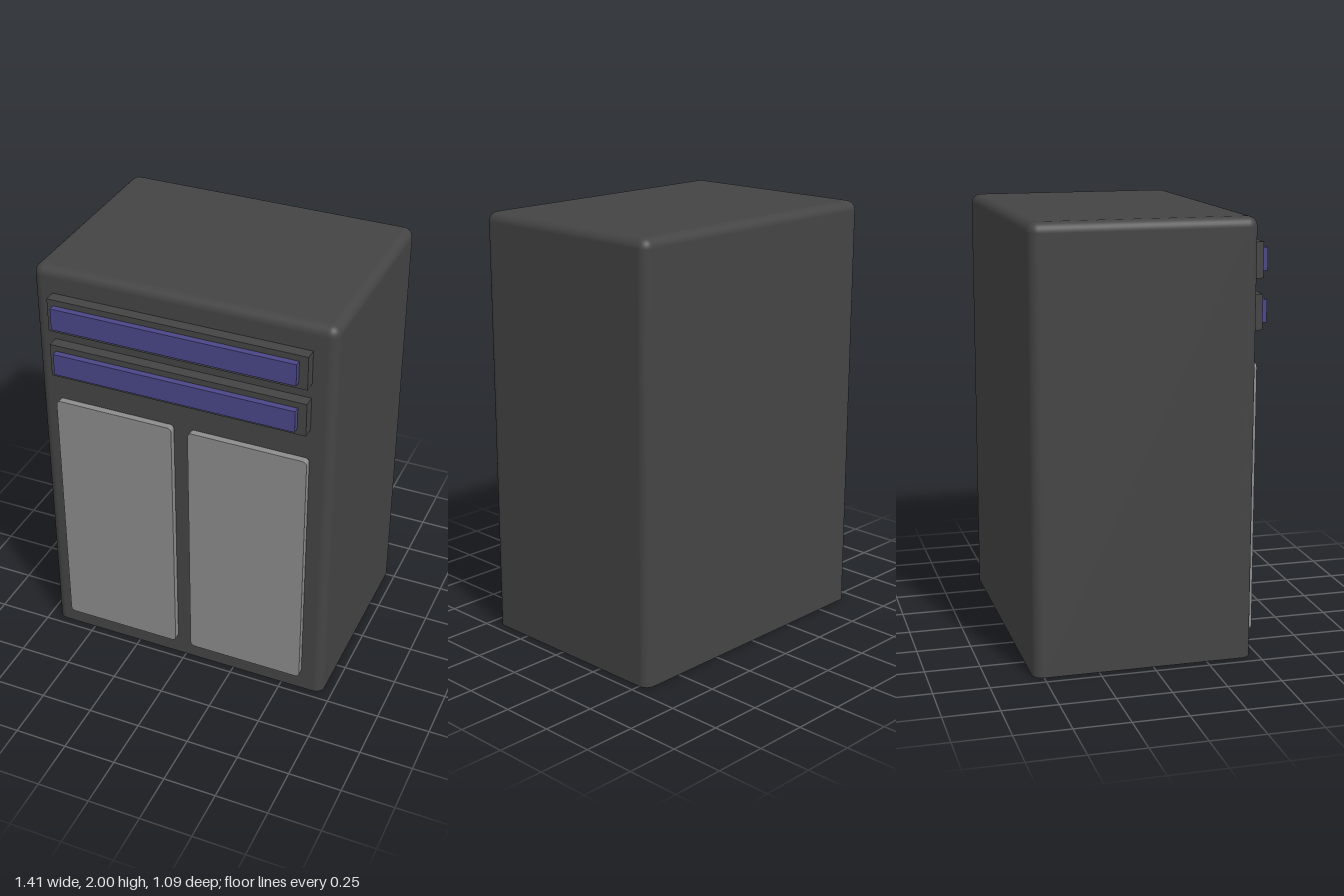
import * as THREE from 'three';
import { RoundedBoxGeometry } from 'three/addons/geometries/RoundedBoxGeometry.js';

const material = (color) => new THREE.MeshStandardMaterial({ color });

// Box given by its extents, [min, max] on each axis
function slab(name, x, y, z, mat) {
  const mesh = new THREE.Mesh(new THREE.BoxGeometry(x[1] - x[0], y[1] - y[0], z[1] - z[0]), mat);
  mesh.position.set((x[0] + x[1]) / 2, (y[0] + y[1]) / 2, (z[0] + z[1]) / 2);
  mesh.name = name;
  return mesh;
}

// Cabinet with rounded sides and top, cut flat at the floor
function cabinetGeometry(width, height, depth, r) {
  const geo = new RoundedBoxGeometry(width, height + r, depth, 5, r);
  geo.translate(0, (height - r) / 2, 0);
  const pos = geo.attributes.position;
  const nor = geo.attributes.normal;
  for (let i = 0; i < pos.count; i += 3) {
    const corners = [i, i + 1, i + 2];
    const under = corners.every((k) => pos.getY(k) < 1e-4);
    for (const k of corners) {
      pos.setY(k, Math.max(0, pos.getY(k)));
      if (under) nor.setXYZ(k, 0, -1, 0);
    }
  }
  return geo;
}

// Flat door with rounded corners
function doorGeometry(w, h, depth, r) {
  const s = new THREE.Shape();
  s.moveTo(r, 0);
  s.lineTo(w - r, 0);
  s.absarc(w - r, r, r, -Math.PI / 2, 0);
  s.lineTo(w, h - r);
  s.absarc(w - r, h - r, r, 0, Math.PI / 2);
  s.lineTo(r, h);
  s.absarc(r, h - r, r, Math.PI / 2, Math.PI);
  s.lineTo(0, r);
  s.absarc(r, r, r, Math.PI, Math.PI * 1.5);
  return new THREE.ExtrudeGeometry(s, { depth, bevelEnabled: false, curveSegments: 5 });
}

export function createModel() {
  const group = new THREE.Group();
  const dark = material(0x444444);
  const grey = material(0x8c8c8c);
  const blue = material(0x4a4688);

  const cabinet = new THREE.Mesh(cabinetGeometry(1.41, 2, 1.01, 0.045), dark);
  cabinet.position.z = -0.042;
  cabinet.name = 'cabinet';
  group.add(cabinet);

  // Two drawers: dark frame with a blue front
  for (const [name, y] of [['upperDrawer', 1.72], ['lowerDrawer', 1.49]]) {
    const drawer = new THREE.Group();
    drawer.name = name;
    drawer.add(
      slab('drawerFrame', [-0.61, 0.6], [y, y + 0.16], [0.44, 0.517], dark),
      slab('drawerFront', [-0.58, 0.56], [y + 0.028, y + 0.132], [0.5, 0.547], blue),
    );
    group.add(drawer);
  }

  // Two doors side by side
  for (const [name, x0, x1] of [['rightDoor', -0.61, -0.04], ['leftDoor', 0.04, 0.6]]) {
    const door = new THREE.Mesh(doorGeometry(x1 - x0, 1.245, 0.055, 0.02), grey);
    door.position.set(x0, 0.095, 0.44);
    door.name = name;
    group.add(door);
  }
  return group;
}
